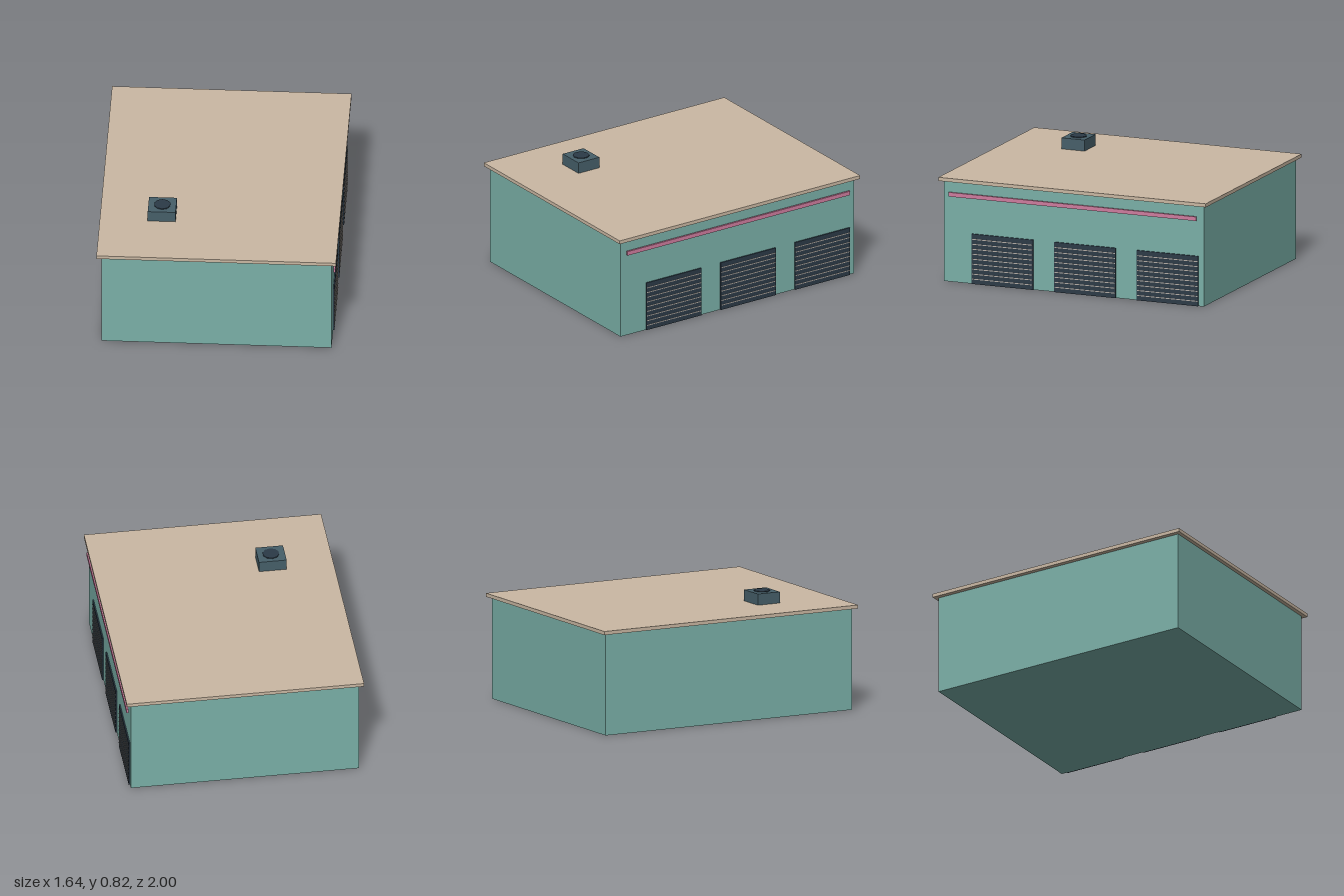
import * as THREE from 'three';

const material = (color) => new THREE.MeshStandardMaterial({ color, flatShading: true });

export function createModel() {
  const model = new THREE.Group();
  model.name = 'garageBuilding';

  const teal = material(0x7ab0a8);
  const tan = material(0xcab8a3);
  const dark = material(0x2b3a47);
  const slate = material(0x465f69);
  const pink = material(0xcf7d9f);
  const pale = material(0xb5aea6);

  // Box given by its lower and upper corners
  function box(name, min, max, mat, parent = model) {
    const size = max.map((v, i) => v - min[i]);
    const mesh = new THREE.Mesh(new THREE.BoxGeometry(...size), mat);
    mesh.position.set(...min.map((v, i) => v + size[i] / 2));
    mesh.name = name;
    parent.add(mesh);
    return mesh;
  }

  // Building shell and overhanging roof slab
  box('walls', [-0.79, 0, -0.972], [0.79, 0.708, 0.972], teal);
  box('roofSlab', [-0.822, 0.708, -1], [0.822, 0.733, 1], tan);

  // Accent strip standing just off the door side
  box('accentStrip', [0.8, 0.603, -0.923], [0.814, 0.632, 0.928], pink);

  // Three roller doors, each with evenly spaced thin ribs
  [0.532, -0.086, -0.703].forEach((z, i) => {
    const door = new THREE.Group();
    door.name = `rollerDoor${i + 1}`;
    model.add(door);
    box('doorPanel', [0.785, 0, z - 0.229], [0.799, 0.352, z + 0.229], dark, door);
    for (let k = 1; k <= 9; k++) {
      const y = k * 0.035;
      box('doorRib', [0.797, y - 0.003, z - 0.225], [0.801, y + 0.003, z + 0.225], pale, door);
    }
  });

  // Rooftop ventilation unit with a round fan cover
  const vent = new THREE.Group();
  vent.name = 'roofVent';
  model.add(vent);
  box('ventHousing', [-0.493, 0.733, 0.397], [-0.302, 0.811, 0.57], slate, vent);
  const fan = new THREE.Mesh(new THREE.CylinderGeometry(0.057, 0.057, 0.012, 10), dark);
  fan.name = 'fanCover';
  fan.position.set(-0.397, 0.811, 0.483);
  vent.add(fan);

  return model;
}
